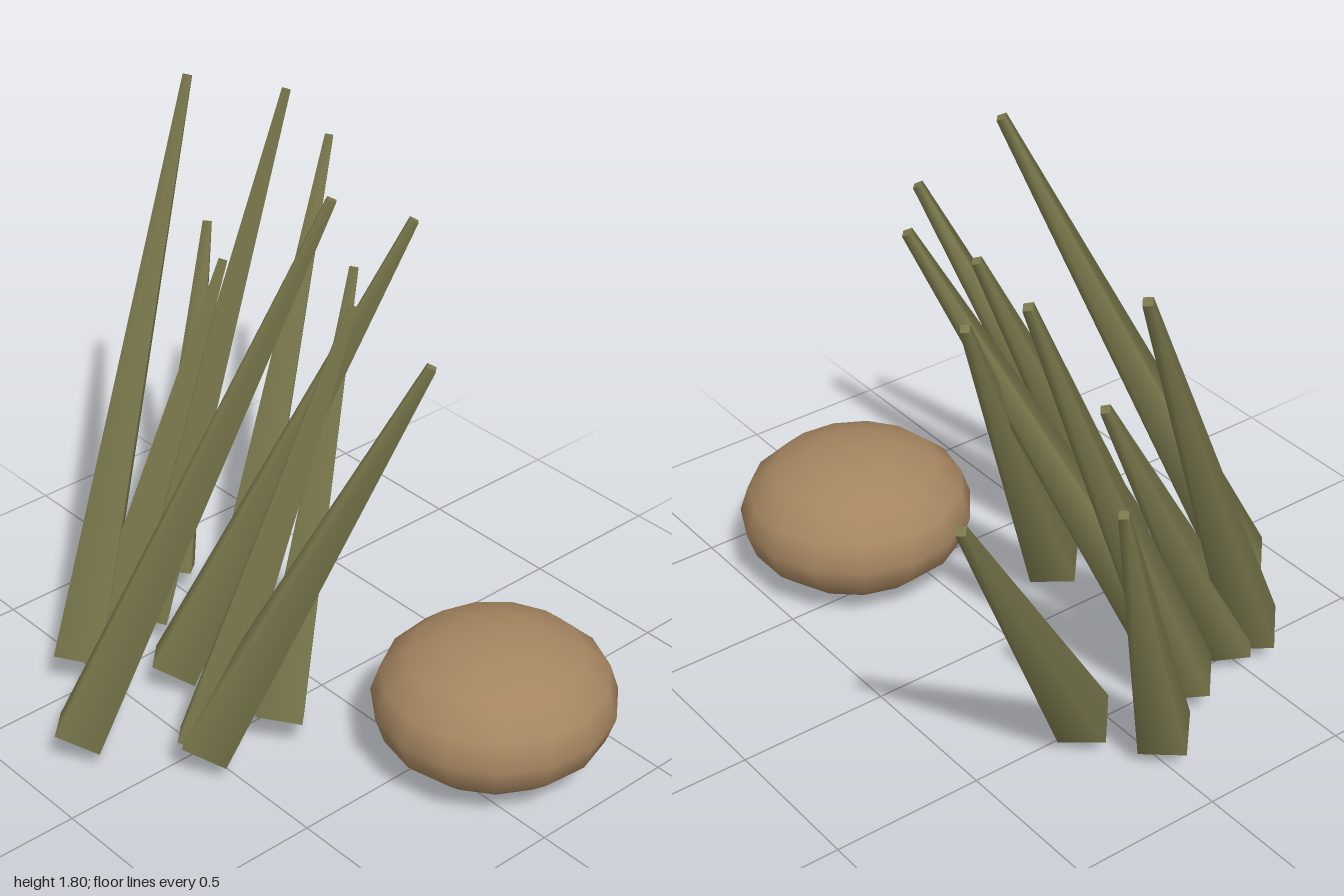
import * as THREE from 'three';

export function createModel() {
  const model = new THREE.Group();
  model.name = 'reedsAndStone';

  const reedGreen = new THREE.MeshStandardMaterial({ color: 0x7a784c });
  reedGreen.name = 'reed green';
  const stoneBrown = new THREE.MeshStandardMaterial({ color: 0xa58560 });
  stoneBrown.name = 'stone brown';

  // Each reed: centre of its base, then centre of its tip
  const reeds = [
    [[-0.80, 0.09, -0.22], [-0.06, 1.80, 0.11]],
    [[-0.57, 0.10, -0.53], [0.24, 1.76, -0.91]],
    [[-0.25, 0.09, -0.59], [0.46, 1.72, -0.69]],
    [[-0.36, 0.09, -0.30], [0.33, 1.58, 0.04]],
    [[-0.55, 0.10, 0.09], [-0.04, 1.42, 0.51]],
    [[-0.55, 0.10, 0.07], [0.07, 1.39, 0.06]],
    [[-0.29, 0.10, 0.13], [0.29, 1.35, -0.18]],
    [[0.14, 0.10, -0.56], [0.88, 1.34, -0.96]],
    [[-0.48, 0.09, -0.52], [0.14, 1.25, -0.63]],
    [[-0.02, 0.09, -0.75], [0.36, 1.18, -0.98]],
  ];
  const up = new THREE.Vector3(0, 1, 0);
  reeds.forEach(([base, tip], i) => {
    const a = new THREE.Vector3(...base);
    const b = new THREE.Vector3(...tip);
    const axis = b.clone().sub(a);
    // Four-sided tapered stalk with smooth normals
    const reed = new THREE.Mesh(new THREE.CylinderGeometry(0.02, 0.105, axis.length(), 4), reedGreen);
    reed.name = `reed${i + 1}`;
    reed.position.copy(a).add(b).multiplyScalar(0.5);
    reed.quaternion.setFromUnitVectors(up, axis.normalize());
    model.add(reed);
  });

  // Flattened round stone in front of the reeds
  const stone = new THREE.Mesh(new THREE.SphereGeometry(1, 15, 8), stoneBrown);
  stone.name = 'stone';
  stone.scale.set(0.387, 0.233, 0.377);
  stone.position.set(0.155, 0.236, 0.622);
  model.add(stone);

  return model;
}
